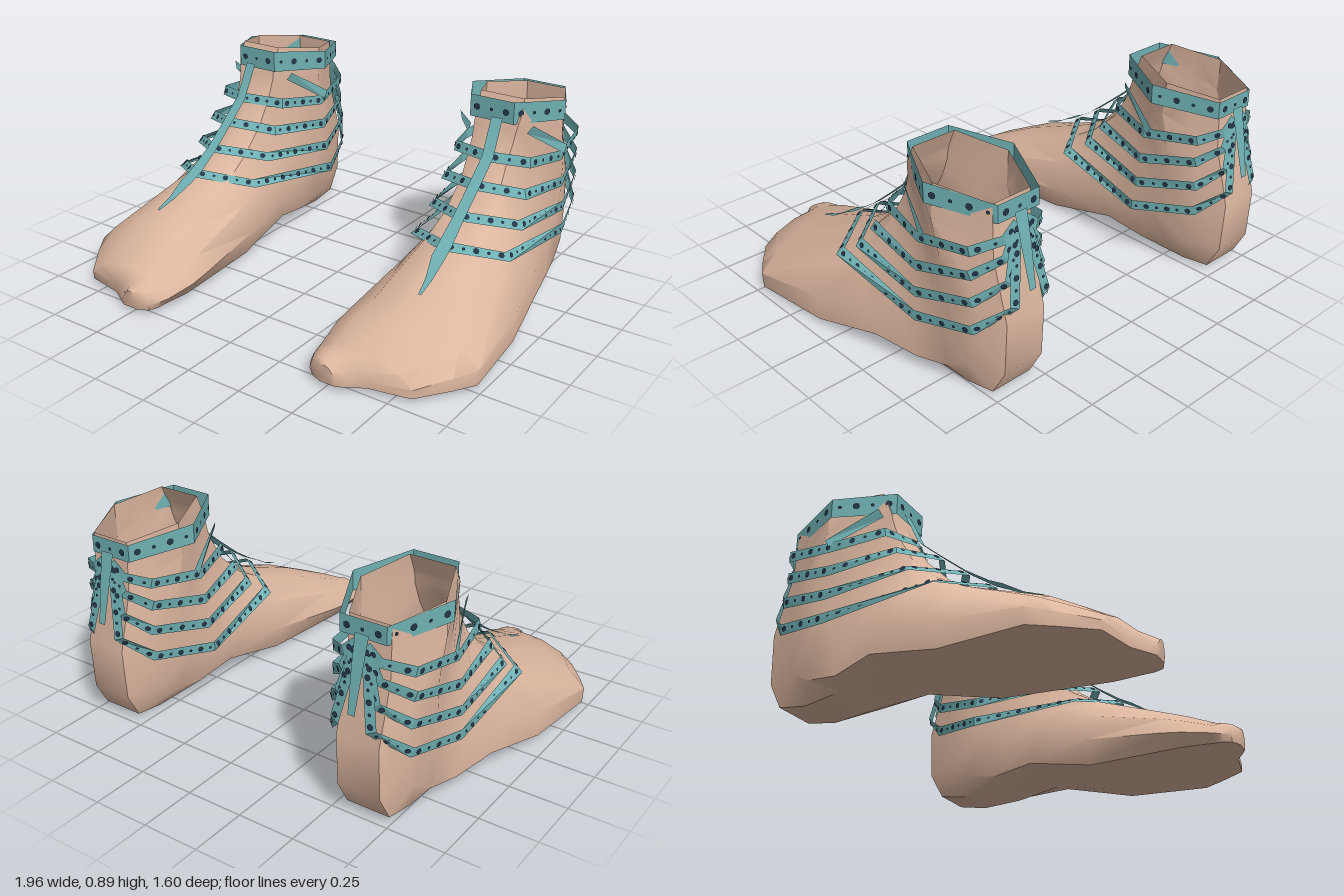
import * as THREE from 'three';
import { mergeGeometries, toCreasedNormals } from 'three/addons/utils/BufferGeometryUtils.js';

const V = (x, y, z) => new THREE.Vector3(x, y, z);

// Skins a grid of rows of points; side -1 mirrors it across x = 0
function surface(rows, side, crease) {
  const n = rows[0].length;
  const pos = rows.flat().flatMap((p) => [p.x * side, p.y, p.z]);
  const index = [];
  for (let i = 0; i < rows.length - 1; i++) {
    for (let j = 0; j < n - 1; j++) {
      const a = i * n + j, b = a + n, c = b + 1, d = a + 1;
      if (side > 0) index.push(a, b, c, a, c, d);
      else index.push(a, c, b, a, d, c);
    }
  }
  const g = new THREE.BufferGeometry();
  g.setAttribute('position', new THREE.Float32BufferAttribute(pos, 3));
  g.setIndex(index);
  return toCreasedNormals(g, crease);
}

// Half outlines from sole to instep, as [across, up]: domed forefoot and hexagonal ankle
const DOME = [[0, 0], [0.55, 0], [0.93, 0], [1, 0.3], [0.8, 0.65], [0.42, 0.93], [0, 1]];
const HEX = [[0, 0], [0.5, 0], [0.75, 0.25], [1, 0.5], [0.77, 0.75], [0.55, 1], [0, 1]];

// Foot sections, toe to ankle: [top z, top y, bottom z, bottom y, inner x, outer x, ankle blend]
const SECTIONS = [
  [0.80, 0.10, 0.795, 0.02, 0.47, 0.55, 0],
  [0.775, 0.115, 0.775, 0.02, 0.42, 0.59, 0],
  [0.735, 0.13, 0.735, 0.02, 0.40, 0.66, 0],
  [0.70, 0.145, 0.70, 0.02, 0.392, 0.84, 0],
  [0.57, 0.205, 0.57, 0.02, 0.375, 0.94, 0],
  [0.48, 0.245, 0.48, 0.02, 0.38, 1.0, 0],
  [0.12, 0.385, 0.12, 0.02, 0.415, 0.96, 0],
  [0.0, 0.46, -0.2, 0.075, 0.44, 0.91, 0.1],
  [-0.12, 0.58, -0.4, 0.02, 0.455, 0.86, 0.25],
  [-0.18, 0.68, -0.58, 0.0, 0.455, 0.835, 0.45],
  [-0.205, 0.72, -0.71, 0.02, 0.455, 0.825, 0.65],
  [-0.225, 0.76, -0.77, 0.13, 0.45, 0.82, 0.8],
  [-0.235, 0.79, -0.78, 0.35, 0.45, 0.82, 0.9],
  [-0.25, 0.82, -0.71, 0.60, 0.45, 0.82, 1],
  [-0.28, 0.89, -0.70, 0.82, 0.45, 0.815, 1],
];

function footRows() {
  const rows = SECTIONS.map(([tz, ty, bz, by, xi, xo, w]) => {
    const c = (xi + xo) / 2, h = (xo - xi) / 2;
    const row = [];
    for (let k = 0; k <= 12; k++) {
      const j = k <= 6 ? k : 12 - k, sign = k <= 6 ? 1 : -1;
      const u = THREE.MathUtils.lerp(DOME[j][0], HEX[j][0], w) * sign;
      const v = THREE.MathUtils.lerp(DOME[j][1], HEX[j][1], w);
      row.push(V(c + u * h - 0.2 * h * v * (1 - w), by + (ty - by) * v, bz + (tz - bz) * v));
    }
    return row;
  });
  rows.unshift(rows[0].map(() => V(0.51, 0.06, 0.80))); // closes the toe
  return rows;
}

// Band rows along a path, lying flat around the ankle; width may vary by point
function band(points, width) {
  return points.map((p, i) => {
    const t = points[Math.min(i + 1, points.length - 1)].clone().sub(points[Math.max(i - 1, 0)]).normalize();
    const n = V(p.x - 0.63, Math.max(0, (p.z + 0.25) * 2), p.z + 0.45).normalize();
    const w = n.cross(t).normalize().multiplyScalar((Array.isArray(width) ? width[i] : width) / 2);
    return [p.clone().sub(w), p.clone().add(w)];
  });
}

// Small flat dots spaced along a band, alternately large and small
function studs(rows, side, spacing, radius) {
  const out = [];
  for (let i = 0; i < rows.length - 1; i++) {
    const [a, d] = rows[i], [b, c] = rows[i + 1];
    const p = a.clone().add(d).multiplyScalar(0.5), q = b.clone().add(c).multiplyScalar(0.5);
    const n = q.clone().sub(p).cross(d.clone().sub(a).add(c).sub(b)).normalize();
    const count = Math.floor(p.distanceTo(q) / spacing);
    for (let k = 0; k < count; k++) {
      const at = p.clone().lerp(q, (k + 0.5) / count).addScaledVector(n, 0.005);
      const dot = new THREE.CircleGeometry(radius * (k % 2 ? 0.55 : 1), 7);
      const normal = V(n.x * side, n.y, n.z);
      dot.applyQuaternion(new THREE.Quaternion().setFromUnitVectors(V(0, 0, 1), normal));
      dot.translate(at.x * side, at.y, at.z);
      out.push(dot);
    }
  }
  return out;
}

// Side straps: front y,z / front kink y,z / lowest y / rear y,z / heel y,z / x of outer and inner kinks
const STRAPS = [
  { f: [0.66, -0.15], a: [0.65, -0.21], b: 0.62, c: [0.65, -0.67], d: [0.68, -0.735], xa: [0.81, 0.46], xb: [0.845, 0.395] },
  { f: [0.57, -0.045], a: [0.54, -0.14], b: 0.505, c: [0.55, -0.67], d: [0.61, -0.745], xa: [0.83, 0.45], xb: [0.86, 0.38] },
  { f: [0.475, 0.07], a: [0.435, -0.07], b: 0.395, c: [0.44, -0.68], d: [0.52, -0.765], xa: [0.85, 0.44], xb: [0.87, 0.365] },
  { f: [0.39, 0.19], a: [0.345, 0.05], b: 0.29, c: [0.32, -0.68], d: [0.42, -0.79], xa: [0.86, 0.43], xb: [0.875, 0.34] },
];

function strapPath({ f, a, b, c, d, xa, xb }) {
  const half = (k) => [
    V(xa[k], ...a), V(xb[k], b, -0.43), V([0.81, 0.45][k], ...c),
    V([0.70, 0.54][k], ...d), V([0.64, 0.60][k], 0.73, -0.735),
  ];
  return [...half(1).reverse(), V(0.65, ...f), ...half(0)];
}

export function createModel() {
  const material = (name, color) =>
    new THREE.MeshStandardMaterial({ name, color, side: THREE.DoubleSide });
  const skin = material('skin', 0xdcb69f);
  const teal = material('teal leather', 0x6fb0b3);
  const navy = material('navy studs', 0x24364a);

  // Hexagonal ankle collar, sloping down to the back
  const corners = [[0.1, -0.225], [0.22, -0.46], [0.1, -0.72], [-0.1, -0.72], [-0.22, -0.46], [-0.1, -0.225], [0.1, -0.225]];
  const collar = corners.map(([x, z]) => {
    const k = (z + 0.225) / -0.495;
    return [V(0.615 + x, 0.79 - 0.045 * k, z), V(0.615 + x, 0.885 - 0.065 * k, z)];
  });

  // Front strip running down the instep to a point
  const strip = band([
    V(0.645, 0.81, -0.215), V(0.65, 0.66, -0.14), V(0.65, 0.57, -0.035), V(0.65, 0.475, 0.08),
    V(0.655, 0.4, 0.19), V(0.66, 0.37, 0.25), V(0.672, 0.315, 0.34), V(0.68, 0.285, 0.42),
  ], [0.05, 0.05, 0.05, 0.05, 0.06, 0.06, 0.03, 0.012]);

  const straps = STRAPS.map((s) => band(strapPath(s), 0.045));

  // Diagonals from the collar to the top strap, and tails hanging at the heel
  const extras = [
    band([V(0.775, 0.77, -0.26), V(0.85, 0.64, -0.46)], 0.04),
    band([V(0.39, 0.64, -0.46), V(0.455, 0.77, -0.26)], 0.04),
    band([V(0.62, 0.77, -0.735), V(0.62, 0.64, -0.765), V(0.62, 0.47, -0.80)], [0.06, 0.05, 0.03]),
  ];

  const model = new THREE.Group();
  model.name = 'strappedFeet';
  for (const side of [1, -1]) {
    const foot = new THREE.Group();
    foot.name = side > 0 ? 'leftFoot' : 'rightFoot';
    const add = (name, geometry, mat) => {
      const mesh = new THREE.Mesh(geometry, mat);
      mesh.name = name;
      foot.add(mesh);
    };
    add('footSkin', surface(footRows(), side, 0.75), skin);
    add('ankleCollar', surface(collar, side, 0.4), teal);
    add('frontStrip', surface(strip, side, 0.4), teal);
    straps.forEach((rows, i) => add(`sideStrap${i + 1}`, surface(rows, side, 0.4), teal));
    extras.forEach((rows, i) =>
      add(['outerDiagonal', 'innerDiagonal', 'heelTail'][i], surface(rows, side, 0.4), teal));
    add('studs', mergeGeometries([
      ...studs(collar, side, 0.06, 0.015),
      ...straps.flatMap((rows) => studs(rows, side, 0.045, 0.013)),
    ]), navy);
    model.add(foot);
  }
  return model;
}
